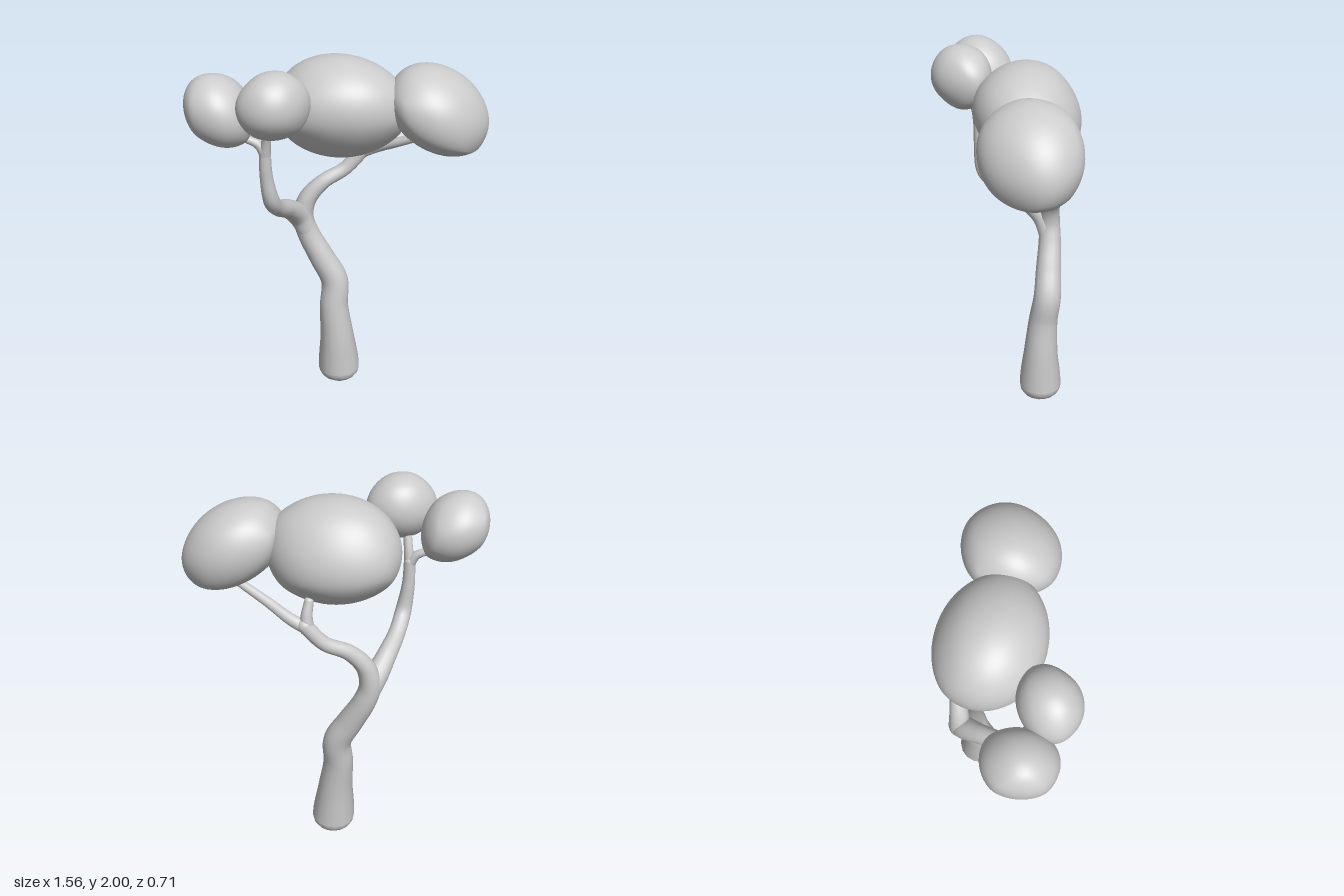
import * as THREE from 'three';
import { mergeVertices } from 'three/addons/utils/BufferGeometryUtils.js';

const material = new THREE.MeshStandardMaterial({ color: 0xcccccc });

function addMesh(parent, name, geometry) {
  const mesh = new THREE.Mesh(geometry, material);
  mesh.name = name;
  parent.add(mesh);
  return mesh;
}

// Tapered limb along points [x, y, z, radius], closed by a rounded cap at each end.
function limb(name, points, capHeight = 1) {
  const group = new THREE.Group();
  group.name = name;
  const path = new THREE.CatmullRomCurve3(points.map(([x, y, z]) => new THREE.Vector3(x, y, z)));
  const radii = new THREE.CatmullRomCurve3(points.map(p => new THREE.Vector3(p[3], 0, 0)), false, 'catmullrom');
  const steps = points.length * 7, sides = 16;
  const geometry = new THREE.TubeGeometry(path, steps, 1, sides);
  const pos = geometry.attributes.position, v = new THREE.Vector3();
  for (let i = 0; i < pos.count; i++) {
    const u = Math.floor(i / (sides + 1)) / steps;
    const centre = path.getPointAt(u);
    const r = radii.getPoint(path.getUtoTmapping(u)).x;
    v.fromBufferAttribute(pos, i).sub(centre).multiplyScalar(r).add(centre);
    pos.setXYZ(i, v.x, v.y, v.z);
  }
  addMesh(group, name + 'Tube', geometry);
  [points[0], points[points.length - 1]].forEach(([x, y, z, r], i) => {
    const cap = addMesh(group, name + 'Cap', new THREE.SphereGeometry(r, 16, 10));
    cap.position.set(x, y, z);
    if (i === 0) cap.scale.y = capHeight;
  });
  return group;
}

// Foliage lump: a tilted ellipsoid, bulged to follow three outlines:
// front as (x, y), top as (x, z) and side as (z, y).
function foliage(parent, name, front, top, side) {
  const reach = (outline, a, b) => Math.max(...outline.map(([p, q]) => p * a + q * b));
  const extents = [[front, 1, 0], [front, 0, 1], [top, 0, 1]].map(([o, a, b]) => [reach(o, a, b), -reach(o, -a, -b)]);
  const centre = extents.map(([hi, lo]) => (hi + lo) / 2);
  const half = extents.map(([hi, lo]) => (hi - lo) / 2);
  const outlines = [[front, 0, 1], [top, 0, 2], [side, 2, 1]].map(([outline, a, b]) =>
    ({ a, b, points: outline.map(([p, q]) => [p - centre[a], q - centre[b]]) }));

  // Ellipsoid: squared half sizes, with tilts from the diagonal widths of each outline
  const tilts = outlines.map(({ a, b, points }) => {
    const rising = (reach(points, 1, 1) + reach(points, -1, -1)) / 2;
    const falling = (reach(points, 1, -1) + reach(points, -1, 1)) / 2;
    return { a, b, amount: (rising ** 2 - falling ** 2) / 2 };
  });
  const ellipsoid = n => Math.sqrt(tilts.reduce((t, { a, b, amount }) => t + amount * n[a] * n[b],
    n.reduce((t, c, i) => t + (c * half[i]) ** 2, 0)));

  // How far each outline swells beyond the ellipsoid, in sixteen directions
  const swells = [];
  for (const { a, b, points } of outlines)
    for (let k = 0; k < 16; k++) {
      const n = [0, 0, 0];
      n[a] = Math.cos(k * Math.PI / 8);
      n[b] = Math.sin(k * Math.PI / 8);
      swells.push([n, reach(points, n[a], n[b]) / ellipsoid(n) - 1]);
    }
  // Distance of the touching plane with normal n
  const support = n => {
    const length = Math.hypot(...n);
    let total = 0, weights = 0;
    for (const [d, swell] of swells) {
      const w = Math.exp(9 * ((n[0] * d[0] + n[1] * d[1] + n[2] * d[2]) / length - 1));
      total += w * swell;
      weights += w;
    }
    return ellipsoid(n) * (1 + total / weights);
  };

  // Each point is the gradient of the support distance
  let geometry = new THREE.IcosahedronGeometry(1, 16);
  geometry.deleteAttribute('uv');
  geometry.deleteAttribute('normal');
  geometry = mergeVertices(geometry, 1e-5);
  const pos = geometry.attributes.position, e = 1e-3;
  for (let i = 0; i < pos.count; i++) {
    const n = [pos.getX(i), pos.getY(i), pos.getZ(i)];
    const moved = (axis, by) => n.map((c, j) => j === axis ? c + by : c);
    pos.setXYZ(i, ...[0, 1, 2].map(axis => (support(moved(axis, e)) - support(moved(axis, -e))) / (2 * e)));
  }
  geometry.computeVertexNormals();
  addMesh(parent, name, geometry).position.set(...centre);
}

export function createModel() {
  const tree = new THREE.Group();
  tree.name = 'tree';

  // Trunk, running on into the left main branch
  tree.add(limb('trunk', [
    [0.018, 0.085, -0.155, 0.117], [0.014, 0.16, -0.156, 0.113], [0.006, 0.3, -0.16, 0.095],
    [-0.008, 0.48, -0.175, 0.081], [-0.002, 0.63, -0.195, 0.076], [-0.07, 0.77, -0.22, 0.07],
    [-0.14, 0.91, -0.245, 0.062], [-0.168, 1.01, -0.25, 0.058], [-0.145, 1.12, -0.248, 0.051],
    [-0.06, 1.215, -0.25, 0.042], [0.07, 1.285, -0.265, 0.038], [0.165, 1.39, -0.262, 0.04],
  ], 0.72));
  // Left twigs
  tree.add(limb('leftInnerTwig', [
    [0.155, 1.375, -0.264, 0.038], [0.155, 1.44, -0.252, 0.03], [0.142, 1.51, -0.23, 0.024],
  ]));
  tree.add(limb('leftOuterTwig', [
    [0.15, 1.375, -0.264, 0.036], [0.23, 1.41, -0.235, 0.031], [0.34, 1.465, -0.155, 0.026],
    [0.49, 1.54, -0.06, 0.022],
  ]));
  // Right main branch and its twigs
  tree.add(limb('rightBranch', [
    [-0.15, 0.93, -0.243, 0.052], [-0.195, 1.035, -0.222, 0.062], [-0.258, 1.115, -0.14, 0.053],
    [-0.33, 1.19, -0.01, 0.045], [-0.368, 1.27, 0.07, 0.043], [-0.392, 1.42, 0.088, 0.034],
    [-0.395, 1.55, 0.093, 0.03],
  ]));
  tree.add(limb('rightInnerTwig', [
    [-0.395, 1.53, 0.093, 0.03], [-0.388, 1.62, 0.11, 0.024], [-0.383, 1.71, 0.14, 0.022],
  ]));
  tree.add(limb('rightOuterTwig', [
    [-0.395, 1.54, 0.093, 0.03], [-0.43, 1.59, 0.085, 0.023], [-0.52, 1.63, 0.065, 0.02],
  ]));

  // Foliage
  foliage(tree, 'middleFoliage',
    [[-0.32, 1.63], [-0.25, 1.54], [-0.14, 1.455], [-0.015, 1.43], [0.125, 1.45], [0.31, 1.55], [0.345, 1.68],
      [0.31, 1.86], [0.15, 1.945], [0.02, 1.985], [-0.11, 1.98], [-0.2, 1.94], [-0.29, 1.85], [-0.325, 1.75]],
    [[-0.325, -0.1], [-0.29, -0.23], [-0.21, -0.335], [-0.13, -0.36], [0.11, -0.34], [0.21, -0.285], [0.31, -0.145],
      [0.345, 0], [0.33, 0.1], [0.25, 0.155], [0.13, 0.2], [0, 0.21], [-0.17, 0.18], [-0.31, 0.015]],
    [[-0.15, 1.985], [-0.22, 1.95], [-0.29, 1.82], [-0.36, 1.68], [-0.33, 1.62], [-0.235, 1.5], [-0.07, 1.43],
      [0.05, 1.5], [0.16, 1.62], [0.21, 1.77], [0.17, 1.88], [0.095, 1.935]]);
  foliage(tree, 'leftFoliage',
    [[0.43, 1.945], [0.54, 1.925], [0.65, 1.87], [0.71, 1.78], [0.78, 1.64], [0.77, 1.57], [0.72, 1.5],
      [0.59, 1.475], [0.43, 1.52], [0.33, 1.59], [0.245, 1.71], [0.275, 1.87], [0.33, 1.925]],
    [[0.31, -0.15], [0.34, -0.185], [0.44, -0.2], [0.65, -0.175], [0.715, -0.12], [0.78, 0.01], [0.73, 0.12],
      [0.65, 0.225], [0.55, 0.275], [0.44, 0.29], [0.31, 0.25], [0.245, 0.16], [0.27, 0]],
    [[0.29, 1.69], [0.275, 1.79], [0.19, 1.89], [0.08, 1.93], [-0.02, 1.945], [-0.14, 1.9], [-0.2, 1.78],
      [-0.18, 1.61], [-0.13, 1.525], [0.03, 1.475], [0.22, 1.525], [0.285, 1.605]]);
  foliage(tree, 'rightFoliage',
    [[-0.755, 1.9], [-0.72, 1.94], [-0.67, 1.955], [-0.55, 1.93], [-0.48, 1.87], [-0.445, 1.75],
      [-0.455, 1.63], [-0.49, 1.59], [-0.57, 1.58], [-0.65, 1.61], [-0.77, 1.683], [-0.78, 1.75]],
    [[-0.77, -0.07], [-0.71, -0.115], [-0.57, -0.14], [-0.5, -0.12], [-0.445, -0.04], [-0.445, 0.06],
      [-0.52, 0.21], [-0.605, 0.235], [-0.73, 0.19], [-0.78, 0.15]],
    [[0.05, 1.955], [0.17, 1.9], [0.235, 1.78], [0.2, 1.65], [0.08, 1.58], [-0.06, 1.62], [-0.14, 1.75], [-0.1, 1.88]]);
  foliage(tree, 'frontFoliage',
    [[-0.545, 1.83], [-0.52, 1.895], [-0.44, 1.975], [-0.335, 2], [-0.23, 1.95], [-0.165, 1.84],
      [-0.18, 1.75], [-0.255, 1.67], [-0.36, 1.655], [-0.465, 1.68], [-0.535, 1.79]],
    [[-0.545, 0.2], [-0.48, 0.085], [-0.335, 0.03], [-0.25, 0.06], [-0.165, 0.13], [-0.21, 0.23],
      [-0.28, 0.33], [-0.35, 0.355], [-0.48, 0.31]],
    [[0.355, 1.845], [0.325, 1.925], [0.245, 1.99], [0.165, 2], [0.085, 1.965], [0.03, 1.85],
      [0.07, 1.73], [0.15, 1.66], [0.22, 1.655], [0.285, 1.725], [0.34, 1.77]]);
  return tree;
}
